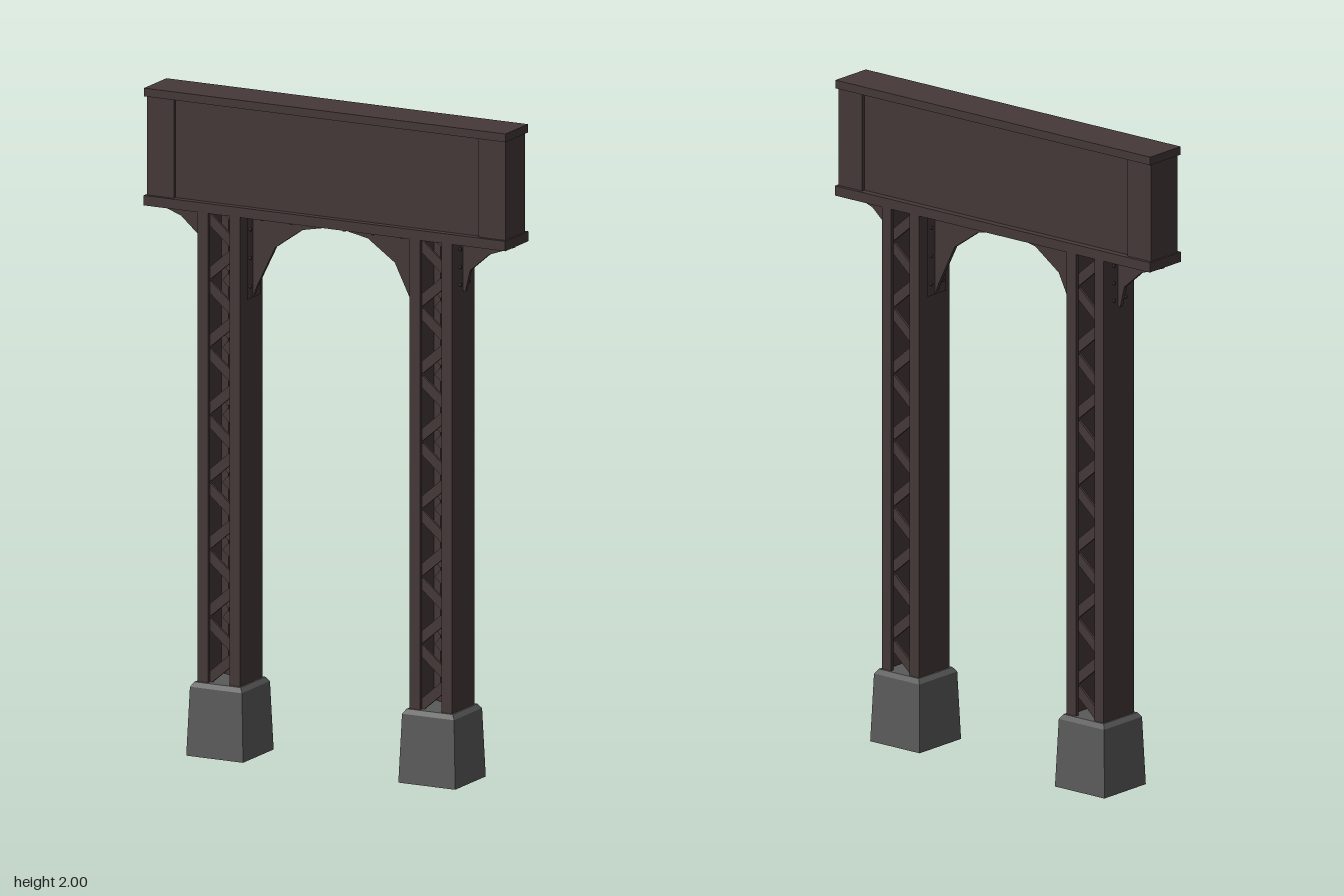
import * as THREE from 'three';

export function createModel() {
  const model = new THREE.Group();
  const iron = new THREE.MeshStandardMaterial({ color: 0x453838 });
  iron.name = 'dark brown iron';
  const sheet = new THREE.MeshStandardMaterial({ color: 0x453838, side: THREE.DoubleSide });
  sheet.name = 'dark brown sheet';
  const concrete = new THREE.MeshStandardMaterial({ color: 0x5a5a5a });
  concrete.name = 'grey concrete';

  const add = (parent, name, geometry, material, x = 0, y = 0, z = 0) => {
    const mesh = new THREE.Mesh(geometry, material);
    mesh.name = name;
    mesh.position.set(x, y, z);
    parent.add(mesh);
    return mesh;
  };
  // Box given by its limits
  const box = (parent, name, x0, x1, y0, y1, z0, z1) =>
    add(parent, name, new THREE.BoxGeometry(x1 - x0, y1 - y0, z1 - z0), iron,
      (x0 + x1) / 2, (y0 + y1) / 2, (z0 + z1) / 2);

  // Girder: flanges, recessed panel and end posts
  const girder = new THREE.Group();
  girder.name = 'girder';
  model.add(girder);
  box(girder, 'topFlange', -0.605, 0.605, 1.975, 2, -0.07, 0.07);
  box(girder, 'bottomFlange', -0.605, 0.605, 1.645, 1.675, -0.072, 0.072);
  box(girder, 'webPanel', -0.51, 0.51, 1.675, 1.975, -0.05, 0.05);
  for (const s of [-1, 1]) {
    box(girder, 'endPost', s * 0.555 - 0.045, s * 0.555 + 0.045, 1.675, 1.975, -0.061, 0.061);
  }

  // Square tapered footing with a chamfered top
  const footing = () => {
    const r = Math.SQRT2;
    const points = [[0, 0], [0.095, 0], [0.087, 0.208], [0.077, 0.222], [0, 0.222]]
      .map(([x, y]) => new THREE.Vector2(x * r, y));
    const g = new THREE.LatheGeometry(points, 4, Math.PI / 4).toNonIndexed();
    g.computeVertexNormals();
    return g;
  };

  // Columns: two channels laced by zigzag bars on front and back
  const low = 0.215, high = 1.645, gapHalf = 0.036, bars = 14;
  const rise = (high - low) / bars;
  for (const s of [-1, 1]) {
    const column = new THREE.Group();
    column.name = s > 0 ? 'leftColumn' : 'rightColumn';
    column.position.x = s * 0.355;
    model.add(column);
    add(column, 'footing', footing(), concrete);
    for (const side of [-1, 1]) {
      box(column, 'channelWeb', side * 0.065 - 0.006, side * 0.065 + 0.006, low, high, -0.07, 0.07);
      for (const f of [-1, 1]) {
        box(column, 'channelLip', side * 0.0535 - 0.0175, side * 0.0535 + 0.0175, low, high,
          f * 0.064 - 0.006, f * 0.064 + 0.006);
      }
    }
    for (const f of [-1, 1]) {
      for (let i = 0; i < bars; i++) {
        const dir = i % 2 ? -1 : 1;
        const dx = gapHalf * 2 + 0.014;
        const bar = add(column, 'lacingBar',
          new THREE.BoxGeometry(Math.hypot(dx, rise * 0.72), 0.03, 0.008), iron,
          0, low + (i + 0.5) * rise, f * 0.054);
        bar.rotation.z = dir * Math.atan2(rise * 0.72, dx);
      }
    }
  }

  // Gusset bracket: thin web, bolted wall plate and bolted top plate
  const bracket = (name, corner, top, curve, s) => {
    const group = new THREE.Group();
    group.name = name;
    model.add(group);
    const end = curve[curve.length - 1], dir = Math.sign(end[0] - corner);
    const shape = new THREE.Shape();
    shape.moveTo(s * corner, top);
    curve.forEach(([x, y]) => shape.lineTo(s * x, y));
    shape.closePath();
    const web = new THREE.ExtrudeGeometry(shape, { depth: 0.012, bevelEnabled: false });
    add(group, 'gusset', web, iron, 0, 0, -0.006);

    const h = top - curve[0][1], w = Math.abs(end[0] - corner);
    const wall = add(group, 'wallPlate', new THREE.PlaneGeometry(0.084, h), sheet, s * corner, top - h / 2, 0);
    wall.rotation.y = Math.PI / 2;
    const cap = add(group, 'topPlate', new THREE.PlaneGeometry(w, 0.084), sheet,
      s * (corner + dir * w / 2), top, 0);
    cap.rotation.x = Math.PI / 2;

    for (const z of [-0.026, 0.026]) {
      for (const t of [0.15, 0.5, 0.85]) {
        const a = add(group, 'bolt', new THREE.CylinderGeometry(0.005, 0.005, 0.006, 6), iron,
          s * (corner + dir * 0.003), top - h * t, z);
        a.rotation.z = Math.PI / 2;
        add(group, 'bolt', new THREE.CylinderGeometry(0.005, 0.005, 0.006, 6), iron,
          s * (corner + dir * w * t), top - 0.003, z);
      }
    }
  };
  for (const s of [-1, 1]) {
    bracket('archBracket', 0.275, 1.637,
      [[0.275, 1.39], [0.262, 1.425], [0.2, 1.55], [0.11, 1.613], [0, 1.635]], s);
    bracket('outerBracket', 0.428, 1.644,
      [[0.428, 1.49], [0.436, 1.49], [0.452, 1.555], [0.515, 1.61], [0.598, 1.64]], s);
  }
  return model;
}
